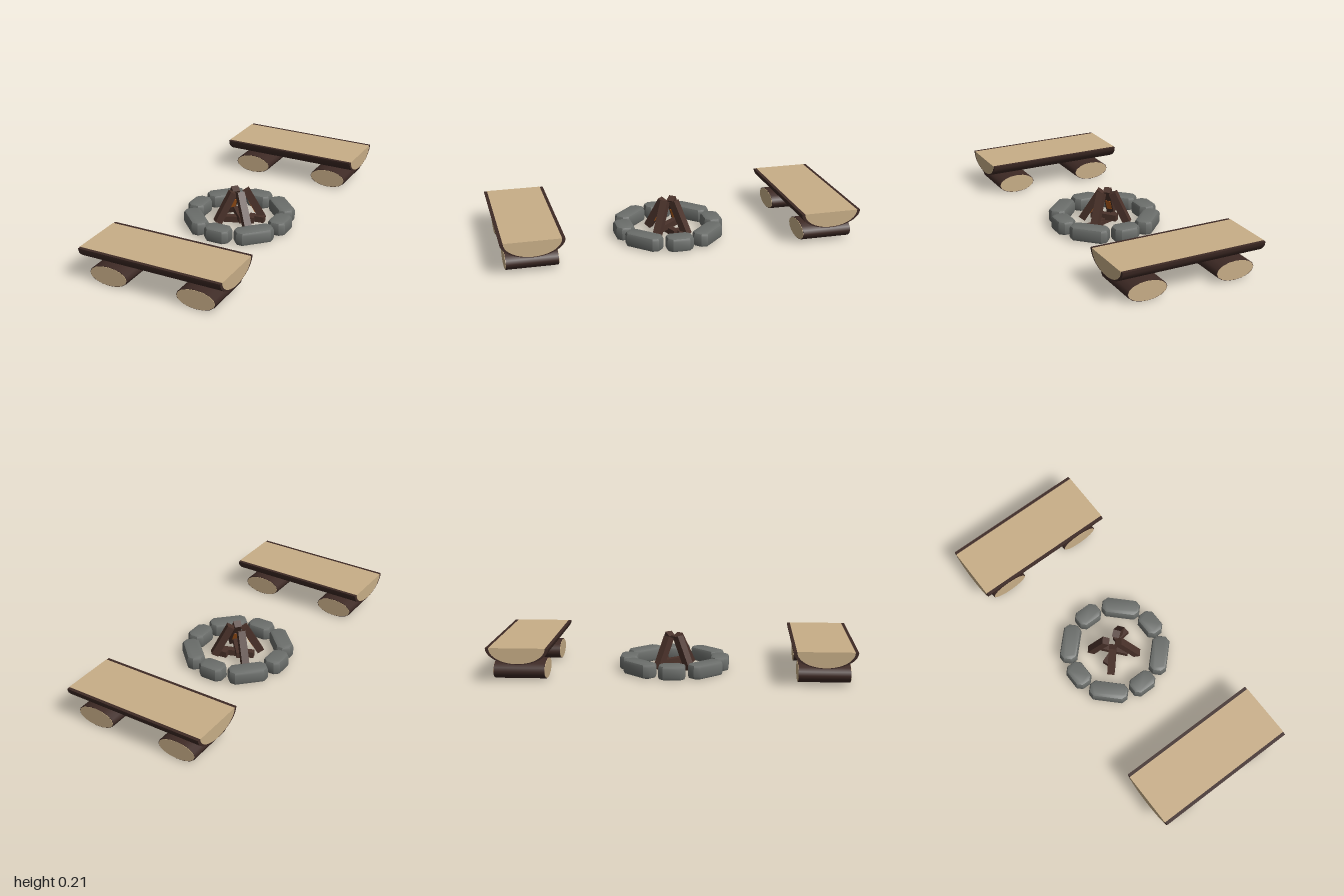
import * as THREE from 'three';
import { toCreasedNormals } from 'three/addons/utils/BufferGeometryUtils.js';

const material = (name, color) => {
  const m = new THREE.MeshStandardMaterial({ color });
  m.name = name;
  return m;
};

export function createModel() {
  const bark = material('bark', 0x3e2a25);
  const wood = material('cut wood', 0xc8ae87);
  const stone = material('stone', 0x6b6e6b);
  const firewood = material('firewood', 0x4a322a);
  const ember = material('ember', 0xb8601c);

  const model = new THREE.Group();
  model.name = 'campfire';

  const add = (parent, name, geometry, mat, x = 0, y = 0, z = 0) => {
    const mesh = new THREE.Mesh(geometry, mat);
    mesh.name = name;
    mesh.position.set(x, y, z);
    parent.add(mesh);
    return mesh;
  };

  // Half log running along x, its flat side at y = 0
  const halfLog = (halfWidth, depth, length) => {
    const shape = new THREE.Shape();
    shape.absellipse(0, 0, halfWidth, depth, Math.PI, Math.PI * 2, false);
    shape.closePath();
    const g = new THREE.ExtrudeGeometry(shape, { depth: length, bevelEnabled: false, curveSegments: 10 });
    g.translate(0, 0, -length / 2);
    g.rotateY(Math.PI / 2);
    return toCreasedNormals(g, 0.6);
  };
  const seatBark = halfLog(0.172, 0.09, 0.82);
  const seatCore = halfLog(0.154, 0.087, 0.824);

  // Squashed round log along z, with pale sawn ends
  const legBark = new THREE.CylinderGeometry(1, 1, 0.28, 16);
  legBark.rotateX(Math.PI / 2);
  legBark.scale(0.112, 0.055, 1);
  const legEnd = new THREE.CylinderGeometry(1, 1, 0.284, 16);
  legEnd.rotateX(Math.PI / 2);
  legEnd.scale(0.109, 0.0525, 1);

  // Two benches
  for (const side of [1, -1]) {
    const bench = new THREE.Group();
    bench.name = side > 0 ? 'frontBench' : 'backBench';
    bench.position.z = side * 0.828;
    add(bench, 'seatBark', seatBark, bark, 0, 0.195, 0);
    add(bench, 'seatWood', seatCore, wood, 0, 0.196, 0);
    for (const x of [-0.255, 0.255]) {
      add(bench, 'benchLeg', legBark, bark, x, 0.055, 0);
      add(bench, 'benchLegEnds', legEnd, wood, x, 0.055, 0);
    }
    model.add(bench);
  }

  // Bevelled stone block with cut corners, standing on y = 0
  const stoneBlock = (length, width, height) => {
    const bevel = 0.018, cut = 0.016;
    const a = length / 2 - bevel, b = width / 2 - bevel;
    const shape = new THREE.Shape([
      [a, -b + cut], [a, b - cut], [a - cut, b], [-a + cut, b],
      [-a, b - cut], [-a, -b + cut], [-a + cut, -b], [a - cut, -b],
    ].map(([x, y]) => new THREE.Vector2(x, y)));
    const g = new THREE.ExtrudeGeometry(shape, {
      depth: height - 2 * bevel, bevelSize: bevel, bevelThickness: bevel, bevelSegments: 2,
    });
    g.translate(0, 0, bevel);
    g.rotateX(-Math.PI / 2);
    return toCreasedNormals(g, 0.5);
  };

  // Ring of eight stones, the diagonal ones longer
  const shortStone = stoneBlock(0.15, 0.105, 0.083);
  const longStone = stoneBlock(0.22, 0.1, 0.083);
  const ring = new THREE.Group();
  ring.name = 'stoneRing';
  for (let i = 0; i < 8; i++) {
    const angle = (i * Math.PI) / 4;
    const s = add(ring, 'stone', i % 2 ? longStone : shortStone, stone,
      Math.sin(angle) * 0.258, 0, Math.cos(angle) * 0.258);
    s.rotation.y = angle;
  }
  model.add(ring);

  // Square stick between two points, its local +z face turned to the ground
  const stick = (name, from, to, size) => {
    const a = new THREE.Vector3(...from), b = new THREE.Vector3(...to);
    const dir = b.clone().sub(a);
    const length = dir.length();
    dir.normalize();
    const under = new THREE.Vector3(0, -1, 0);
    under.addScaledVector(dir, -under.dot(dir)).normalize();
    const across = new THREE.Vector3().crossVectors(dir, under);
    const group = new THREE.Group();
    group.name = name;
    group.position.copy(a).add(b).multiplyScalar(0.5);
    group.quaternion.setFromRotationMatrix(new THREE.Matrix4().makeBasis(across, dir, under));
    add(group, 'stick', new THREE.BoxGeometry(size, length, size), firewood);
    fire.add(group);
    return group;
  };

  // Leaning sticks with glowing undersides
  const fire = new THREE.Group();
  fire.name = 'fire';
  const leaning = [
    [[0.095, 0.018, 0.088], [0.012, 0.195, 0.018]],
    [[-0.095, 0.018, 0.09], [-0.03, 0.19, 0.022]],
    [[0.105, 0.018, -0.085], [0.03, 0.198, -0.026]],
    [[-0.105, 0.018, -0.088], [-0.04, 0.19, -0.03]],
  ];
  for (const [foot, tip] of leaning) {
    const s = stick('leaningStick', foot, tip, 0.042);
    add(s, 'emberPatch', new THREE.BoxGeometry(0.03, 0.07, 0.004), ember, 0, -0.01, 0.021);
  }

  // Short sticks lying crossed on the ground
  stick('lyingStick', [-0.09, 0.02, 0.03], [0.08, 0.02, -0.03], 0.036);
  stick('lyingStick', [-0.05, 0.045, -0.06], [0.05, 0.045, 0.06], 0.036);
  stick('lyingStick', [0.04, 0.02, -0.05], [0.13, 0.02, -0.06], 0.036);
  model.add(fire);

  return model;
}
